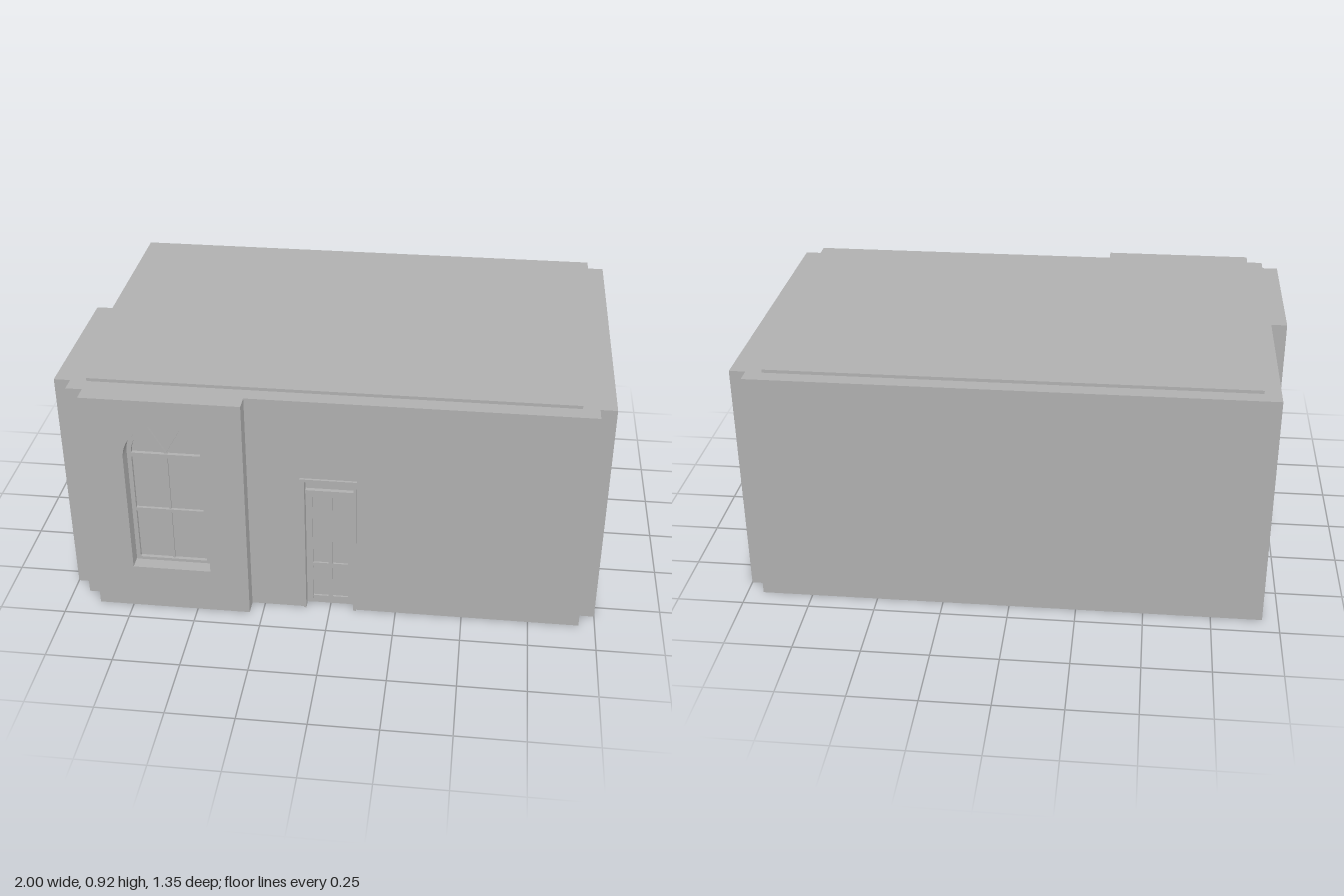
import * as THREE from 'three';

const stone = new THREE.MeshStandardMaterial({ color: 0xb0b0b0 });
stone.name = 'grey plaster';

const H = 0.905;          // wall height
const T = 0.06;           // thickness of each wall layer
const SILL = 0.18, SPRING = 0.66, R = 0.147;

function add(parent, name, geometry, x = 0, y = 0, z = 0) {
  const m = new THREE.Mesh(geometry, stone);
  m.name = name;
  m.position.set(x, y, z);
  parent.add(m);
  return m;
}

// box given by its lower and upper corners
function block(parent, name, x0, x1, y0, y1, z0, z1) {
  return add(parent, name, new THREE.BoxGeometry(x1 - x0, y1 - y0, z1 - z0),
    (x0 + x1) / 2, (y0 + y1) / 2, (z0 + z1) / 2);
}

const extrude = (shape, depth) =>
  new THREE.ExtrudeGeometry(shape, { depth, bevelEnabled: false, curveSegments: 24 });

// round-headed outline, shrunk inwards by inset
function archPath(path, cx, inset = 0) {
  const r = R - inset;
  path.moveTo(cx - r, SILL + inset);
  path.lineTo(cx + r, SILL + inset);
  path.lineTo(cx + r, SPRING);
  path.absarc(cx, SPRING, r, 0, Math.PI, false);
  path.closePath();
  return path;
}

// window standing inside a wall layer whose back is z = 0
function archWindow(parent, cx) {
  const g = new THREE.Group();
  g.name = 'archedWindow';
  g.position.x = cx;
  parent.add(g);
  add(g, 'pane', extrude(archPath(new THREE.Shape(), 0), 0.006));
  const frame = archPath(new THREE.Shape(), 0, 0.008);
  frame.holes.push(archPath(new THREE.Path(), 0, 0.02));
  add(g, 'frame', extrude(frame, 0.02));
  const w = R - 0.015;
  block(g, 'transom', -w, w, 0.648, 0.664, 0.004, 0.02);
  block(g, 'meetingRail', -w, w, 0.408, 0.422, 0.004, 0.017);
  block(g, 'glazingBar', -0.004, 0.004, SILL + 0.01, 0.65, 0.004, 0.013);
  // fan bars in the arch
  for (const side of [-1, 1]) {
    const a = side * Math.PI / 6, len = 0.13;
    const bar = add(g, 'fanBar', new THREE.BoxGeometry(0.007, len, 0.01),
      Math.sin(a) * len / 2, SPRING + Math.cos(a) * len / 2, 0.008);
    bar.rotation.z = -a;
  }
}

// projecting wall layer from x0 to x1 with arched openings
function bay(parent, name, x0, x1, windows) {
  const g = new THREE.Group();
  g.name = name;
  parent.add(g);
  const s = new THREE.Shape();
  s.moveTo(x0, 0);
  s.lineTo(x1, 0);
  s.lineTo(x1, H);
  s.lineTo(x0, H);
  s.closePath();
  for (const cx of windows) s.holes.push(archPath(new THREE.Path(), cx));
  add(g, 'bayWall', extrude(s, T));
  for (const cx of windows) archWindow(g, cx);
  return g;
}

// doorway in the front wall, wall face at z = 0.615
function door(parent) {
  const g = new THREE.Group();
  g.name = 'door';
  parent.add(g);
  block(g, 'doorLeaf', -0.09, 0.09, 0.003, 0.575, 0.555, 0.58);
  block(g, 'doorTransom', -0.09, 0.09, 0.508, 0.522, 0.58, 0.596);
  for (const s of [-1, 1]) {
    block(g, 'doorStile', s * 0.078 - 0.012, s * 0.078 + 0.012, 0.003, 0.51, 0.58, 0.588);
    block(g, 'doorCasing', s * 0.095 - 0.005, s * 0.095 + 0.005, 0, 0.575, 0.61, 0.622);
  }
  block(g, 'doorMullion', -0.008, 0.008, 0.003, 0.51, 0.58, 0.588);
  for (const [y0, y1] of [[0.003, 0.035], [0.17, 0.19], [0.488, 0.51], [0.555, 0.575]])
    block(g, 'doorRail', -0.089, 0.089, y0, y1, 0.58, 0.587);
  block(g, 'doorHead', -0.107, 0.102, 0.575, 0.586, 0.61, 0.624);
}

export function createModel() {
  const model = new THREE.Group();
  model.name = 'building';

  block(model, 'mainBody', -0.94, 0.94, 0, H, -0.677, 0.555);
  block(model, 'roofPanel', -0.88, 0.88, H - 0.01, 0.917, -0.62, 0.555);

  // front wall with the doorway notch
  const s = new THREE.Shape();
  const outline = [[-0.94, 0], [-0.09, 0], [-0.09, 0.575], [0.09, 0.575],
    [0.09, 0], [0.94, 0], [0.94, H], [-0.94, H]];
  s.setFromPoints(outline.map(([x, y]) => new THREE.Vector2(x, y)));
  add(model, 'frontWall', extrude(s, T), 0, 0, 0.555);
  door(model);

  // projecting bays
  bay(model, 'frontBay', -0.88, -0.3, [-0.59]).position.z = 0.615;

  const right = bay(model, 'leftSideBay', -0.555, 0.617, [-0.265, 0.322]);
  right.rotation.y = Math.PI / 2;
  right.position.x = 0.94;

  const left = bay(model, 'rightSideBay', -0.03, 0.555, [0.265]);
  left.rotation.y = -Math.PI / 2;
  left.position.x = -0.94;

  return model;
}
